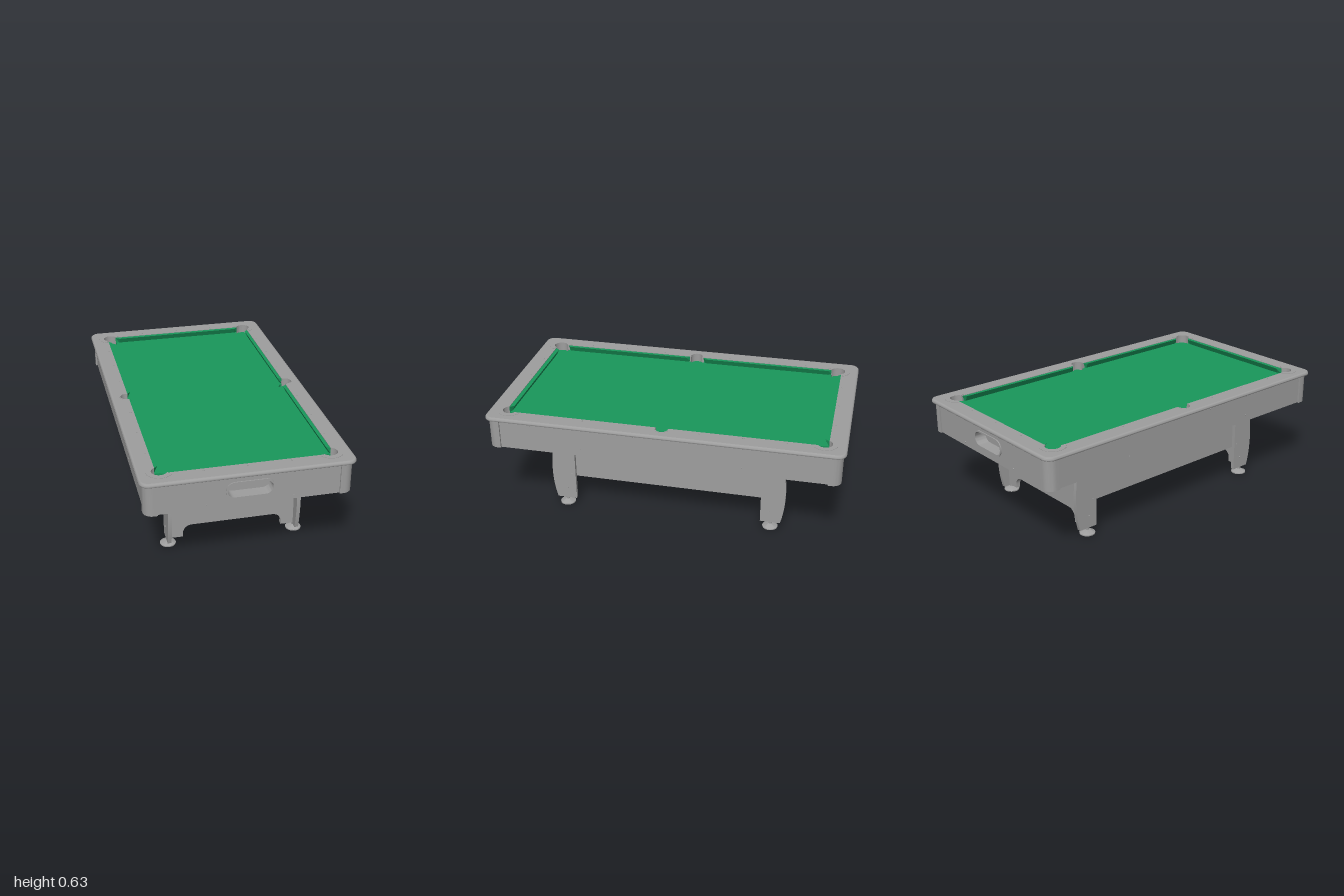
import * as THREE from 'three';
import { toCreasedNormals } from 'three/addons/utils/BufferGeometryUtils.js';

const grey = new THREE.MeshStandardMaterial({ color: 0x9e9e9e });
const green = new THREE.MeshStandardMaterial({ color: 0x19975b });
const rad = THREE.MathUtils.degToRad;

function add(parent, name, geo, x = 0, y = 0, z = 0, mat = grey) {
  const mesh = new THREE.Mesh(geo, mat);
  mesh.name = name;
  mesh.position.set(x, y, z);
  parent.add(mesh);
  return mesh;
}
const box = (w, h, d) => new THREE.BoxGeometry(w, h, d);
const v2 = (x, y) => new THREE.Vector2(x, y);
const extrude = (shape, depth) =>
  toCreasedNormals(new THREE.ExtrudeGeometry(shape, { depth, bevelEnabled: false, curveSegments: 16 }), 0.5);
// Plan shape (x, z) with its top at y = 0, going down
const slab = (shape, depth) => extrude(shape, depth).rotateX(Math.PI / 2);

function arc(cx, cy, r, from, to, n = 16) {
  return Array.from({ length: n + 1 }, (_, i) => {
    const a = rad(from + (to - from) * i / n);
    return v2(cx + r * Math.cos(a), cy + r * Math.sin(a));
  });
}

function roundedRect(w, d, r) {
  return [
    ...arc(w - r, d - r, r, 0, 90, 8), ...arc(r - w, d - r, r, 90, 180, 8),
    ...arc(r - w, r - d, r, 180, 270, 8), ...arc(w - r, r - d, r, 270, 360, 8),
  ];
}

// Playfield outline: pockets bulge outwards for the rail, bite inwards for the bed
function playfield(sideFrom, cornerTo) {
  const quarter = [...arc(0.475, 0, 0.036, sideFrom, 106, 10), ...arc(0.447, 0.88, 0.042, -64.6, cornerTo, 20)];
  const half = [...quarter, ...quarter.map(p => v2(-p.x, p.y)).reverse()];
  return [...half, ...half.map(p => v2(p.x, -p.y)).reverse()];
}

function frameShape(outline) {
  const s = new THREE.Shape(outline);
  s.holes.push(new THREE.Path(playfield(0, 151.6)));
  return s;
}

// Rounded outer lip, lofted through inset outlines
function lipGeometry(w, d, r, profile) {
  const pos = [], idx = [];
  const n = roundedRect(w, d, r).length;
  profile.forEach(([inset, y]) =>
    roundedRect(w - inset, d - inset, r - inset).forEach(p => pos.push(p.x, y, p.y)));
  for (let s = 0; s < profile.length - 1; s++)
    for (let i = 0; i < n; i++) {
      const a = s * n + i, c = s * n + (i + 1) % n;
      idx.push(a, a + n, c, c, a + n, c + n);
    }
  const g = new THREE.BufferGeometry();
  g.setAttribute('position', new THREE.Float32BufferAttribute(pos, 3));
  g.setIndex(idx);
  return toCreasedNormals(g, 0.6);
}

// Cushion with its nose at z = 0, undercut towards the bed
function cushionGeometry(half) {
  const g = slab(new THREE.Shape([
    v2(-half, 0.024), v2(0.022 - half, 0), v2(half - 0.022, 0), v2(half, 0.024),
  ]), 0.034);
  const p = g.attributes.position;
  for (let i = 0; i < p.count; i++)
    if (p.getY(i) < -0.01 && p.getZ(i) < 0.01) p.setZ(i, 0.016);
  g.computeVertexNormals();
  return g;
}

function screw(parent, axis, x, y, z) {
  const g = new THREE.CylinderGeometry(0.004, 0.005, 0.006, 10);
  const m = add(parent, 'screw', g, x, y, z);
  if (axis === 'x') m.rotation.z = -Math.sign(x) * Math.PI / 2;
  if (axis === 'z') m.rotation.x = Math.sign(z) * Math.PI / 2;
}

function stadium(half, r, cy, Type = THREE.Shape) {
  return new Type([...arc(half, cy, r, -90, 90), ...arc(-half, cy, r, 90, 270)]);
}

function collar(parent, name, x, y, z, r0, r1, from, to) {
  const s = new THREE.Shape([...arc(0, 0, r1, from, to, 24), ...arc(0, 0, r0, to, from, 24)]);
  add(parent, name, slab(s, 0.006), x, y, z);
}

// One end: board with ball return, legs, panel and feet
function buildEnd() {
  const end = new THREE.Group();
  const board = new THREE.Shape([v2(-0.48, 0.433), v2(0.48, 0.433), v2(0.48, 0.605), v2(-0.48, 0.605)]);
  board.holes.push(stadium(0.08, 0.041, 0.523, THREE.Path));
  add(end, 'endBoard', extrude(board, 0.026), 0, 0, 0.95);
  const rim = stadium(0.08, 0.048, 0.523);
  rim.holes.push(stadium(0.08, 0.039, 0.523, THREE.Path));
  add(end, 'ballReturnRim', extrude(rim, 0.072), 0, 0, 0.91);
  add(end, 'ballReturnBack', box(0.25, 0.09, 0.01), 0, 0.523, 0.91);
  for (const x of [-0.23, 0, 0.23]) {
    screw(end, 'z', x, 0.591, 0.977);
    if (x) screw(end, 'z', x, 0.454, 0.977);
    screw(end, 'y', x, 0.625, 0.92);
  }

  // Panel between the legs with an arched cut-out
  const panel = new THREE.Shape([
    v2(-0.351, 0.435), v2(-0.351, 0.043), v2(-0.28, 0.043),
    ...arc(-0.23, 0.065, 0.05, 180, 90, 8), ...arc(0.23, 0.065, 0.05, 90, 0, 8),
    v2(0.28, 0.043), v2(0.351, 0.043), v2(0.351, 0.435),
  ]);
  add(end, 'endPanel', extrude(panel, 0.025), 0, 0, 0.6);

  // Bowed leg plates
  const leg = new THREE.Shape();
  leg.moveTo(0.545, 0.435);
  leg.lineTo(0.545, 0.034);
  leg.lineTo(0.66, 0.034);
  leg.bezierCurveTo(0.69, 0.14, 0.695, 0.29, 0.655, 0.435);
  const legGeo = extrude(leg, 0.021).rotateY(-Math.PI / 2);
  const foot = toCreasedNormals(new THREE.LatheGeometry([
    [0, 0], [0.044, 0], [0.044, 0.006], [0.016, 0.02], [0.01, 0.022], [0.01, 0.04], [0, 0.04],
  ].map(p => v2(...p)), 28), 0.5);
  for (const s of [-1, 1]) {
    add(end, 'legPlate', legGeo, s > 0 ? 0.372 : -0.351);
    add(end, 'levellingFoot', foot, s * 0.361, 0, 0.603);
    for (const [y, z] of [[0.344, 0.567], [0.199, 0.567], [0.105, 0.596]]) screw(end, 'x', s * 0.373, y, z);
  }
  return end;
}

export function createModel() {
  const model = new THREE.Group();
  model.name = 'poolTable';

  for (const name of ['frontEnd', 'backEnd']) {
    const end = buildEnd();
    end.name = name;
    if (name === 'backEnd') end.rotation.y = Math.PI;
    model.add(end);
  }

  // Cabinet underside, bed, sunken pocket floors and the wall around the opening
  add(model, 'cabinetFloor', box(1.06, 0.015, 1.94), 0, 0.4415, 0);
  add(model, 'bed', slab(new THREE.Shape(playfield(180, -208.4)), 0.02), 0, 0.59, 0, green);
  add(model, 'pocketFloor', box(1.03, 0.008, 1.86), 0, 0.571, 0, green);
  add(model, 'pocketWall', slab(frameShape(roundedRect(0.53, 0.94, 0.02)), 0.04), 0, 0.606, 0);

  // Top rail with a soft outer edge
  add(model, 'topRail', slab(frameShape(roundedRect(0.5515, 0.988, 0.04)), 0.02), 0, 0.625, 0);
  add(model, 'railLip', lipGeometry(0.5635, 1, 0.052, [
    [0.012, 0.605], [0.002, 0.605], [0, 0.608], [0, 0.614], [0.002, 0.619], [0.006, 0.6235], [0.012, 0.625],
  ]));

  const endCushion = cushionGeometry(0.41);
  const sideCushion = cushionGeometry(0.402);
  for (const s of [-1, 1]) {
    add(model, 'endCushion', endCushion, 0, 0.622, s * 0.876, green).rotation.y = s > 0 ? 0 : Math.PI;
    add(model, 'sideBoard', box(0.026, 0.172, 1.84), s * 0.524, 0.519, 0);
    add(model, 'sideApron', box(0.02, 0.19, 1.21), s * 0.341, 0.273, 0);
    collar(model, 'sidePocketCollar', s * 0.475, 0.626, 0, 0.035, 0.041, s > 0 ? -100 : 80, s > 0 ? 100 : 280);
    for (const z of [-0.74, -0.45, -0.15, 0.15, 0.45, 0.74]) screw(model, 'x', s * 0.538, 0.589, z);
    for (const z of [-0.68, -0.45, -0.21, 0.21, 0.45, 0.68]) screw(model, 'y', s * 0.485, 0.625, z);

    for (const t of [-1, 1]) {
      add(model, 'sideCushion', sideCushion, s * 0.445, 0.622, t * 0.44, green).rotation.y = s * Math.PI / 2;
      screw(model, 'x', s * 0.536, 0.473, t * 0.45);

      // Rounded corner post and pocket collar
      const post = new THREE.Shape([v2(0, 0), v2(0.071, 0), ...arc(0.021, 0.02, 0.05, 0, 90, 10), v2(0, 0.07)]
        .map(p => v2(s * p.x, t * p.y)));
      add(model, 'cornerPost', slab(post, 0.173), s * 0.476, 0.605, t * 0.915);
      const mid = THREE.MathUtils.radToDeg(Math.atan2(t, s));
      collar(model, 'cornerPocketCollar', s * 0.447, 0.627, t * 0.88, 0.041, 0.07, mid - 108, mid + 108);
    }
  }
  return model;
}
